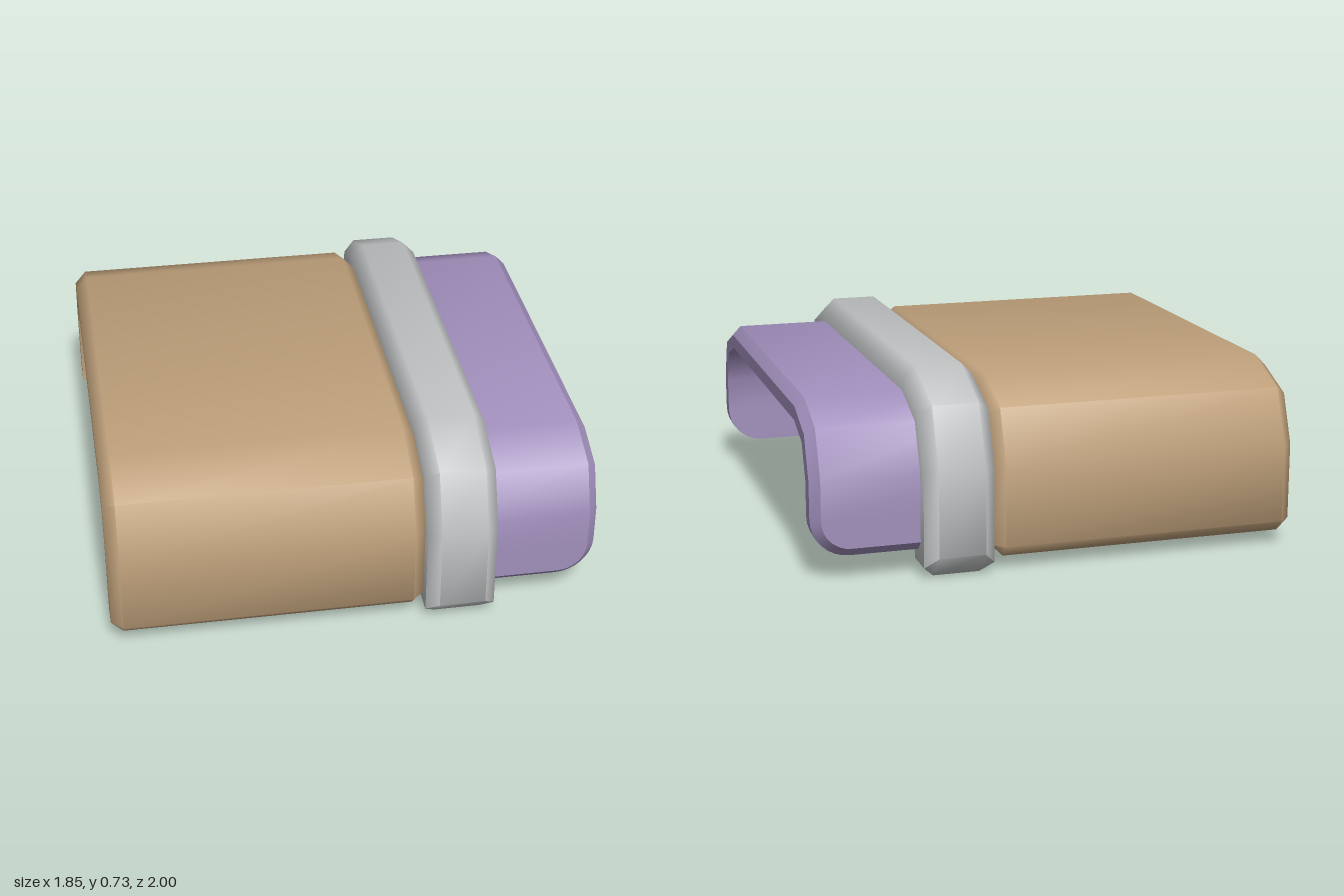
import * as THREE from 'three';
import { mergeGeometries, toCreasedNormals } from 'three/addons/utils/BufferGeometryUtils.js';

const tan = new THREE.MeshStandardMaterial({ name: 'tan', color: 0xc1a27c });
const purple = new THREE.MeshStandardMaterial({ name: 'purple', color: 0xa18fbc });
const grey = new THREE.MeshStandardMaterial({ name: 'light grey', color: 0xc2c4c5 });

// Inner bends of the arch as [z, y], from the leg to the flat top
const INNER = [[0.82, 0.37], [0.77, 0.5], [0.64, 0.55]];

// Arched shell with bevelled edges and rounded or chamfered leg corners.
// outer: outer bends, x0..x1: width, foot: leg bottom, r: corner radius,
// steps: corner segments, bevel: edge bevel, footBevel: bevel under the leg
function archShell({ outer, x0, x1, foot, r, steps, bevel, footBevel = bevel, gap = 0, sharpBevel = false }) {
  const cx = (x0 + x1) / 2, W = (x1 - x0) / 2;
  const zIn = 0.82 + gap, zOut = outer[0][0];
  const half = [];
  // Each section runs: inner back, rim back, face back, face front, rim front, inner front
  const section = (wRim, wFace, inn, rim, face) => half.push([
    [cx - wRim, inn], [cx - wRim, rim], [cx - wFace, face],
    [cx + wFace, face], [cx + wRim, rim], [cx + wRim, inn],
  ].map(([x, [z, y]]) => new THREE.Vector3(x, y, z)));

  // Leg corner
  for (let i = 0; i <= steps; i++) {
    const a = (i / steps) * Math.PI / 2, c = 1 - Math.cos(a), s = Math.sin(a);
    const y = foot + r * c;
    const b = THREE.MathUtils.lerp(footBevel, bevel, i / steps);
    section(W - r + r * s, W - r + (r - bevel) * s,
      [zIn, y], [zOut - b, y], [zOut, foot + footBevel + (r - bevel) * c]);
  }
  // Bends up to the flat top
  INNER.forEach(([z, y], i) => {
    const inn = [z + gap, y + gap], out = outer[i];
    const k = 1 - bevel / (zOut - zIn);
    const rim = inn.map((v, n) => v + (out[n] - v) * k);
    section(W, W - bevel, inn, rim, out);
  });
  const mirrored = half.map(sec => sec.map(p => new THREE.Vector3(p.x, p.y, -p.z))).reverse();
  const secs = [...half, ...mirrored], last = secs.length - 1;

  const strips = [];
  let pos = [];
  const tri = (a, b, c) => {
    const area = b.clone().sub(a).cross(c.clone().sub(a)).length();
    if (area > 1e-8) for (const p of [a, b, c]) pos.push(p.x, p.y, p.z);
  };
  const quad = (a, b, c, d) => { tri(a, b, c); tri(a, c, d); };
  const flush = () => {
    const g = new THREE.BufferGeometry();
    g.setAttribute('position', new THREE.Float32BufferAttribute(pos, 3));
    strips.push(g);
    pos = [];
  };
  // Strips along the arch
  for (let j = 0; j < 6; j++) {
    const n = (j + 1) % 6;
    for (let i = 0; i < last; i++) quad(secs[i][j], secs[i][n], secs[i + 1][n], secs[i + 1][j]);
    flush();
  }
  // Leg undersides
  const s = secs[0], e = secs[last];
  quad(s[0], s[5], s[4], s[1]);
  quad(e[5], e[0], e[1], e[4]);
  flush();
  quad(s[1], s[4], s[3], s[2]);
  quad(e[4], e[1], e[2], e[3]);
  flush();
  if (sharpBevel) return mergeGeometries(strips.map(g => toCreasedNormals(g, 1)));
  return toCreasedNormals(mergeGeometries(strips), 1);
}

export function createModel() {
  const group = new THREE.Group();
  group.name = 'archedSleeve';
  const add = (name, material, options) => {
    const mesh = new THREE.Mesh(archShell(options), material);
    mesh.name = name;
    group.add(mesh);
  };

  // Wide main cover
  add('mainCover', tan, {
    outer: [[0.955, 0.395], [0.875, 0.6], [0.67, 0.683]],
    x0: -0.925, x1: 0.26, foot: 0.05, r: 0.045, steps: 1, bevel: 0.045,
  });
  // Raised band around the joint
  add('raisedBand', grey, {
    outer: [[1.0, 0.405], [0.91, 0.635], [0.68, 0.73]],
    x0: 0.26, x1: 0.525, foot: 0, r: 0.045, steps: 1, bevel: 0.045, footBevel: 0.09, gap: 0.003,
  });
  // Inner end piece with rounded corners
  add('endPiece', purple, {
    outer: [[0.91, 0.39], [0.84, 0.565], [0.66, 0.638]],
    x0: 0.26, x1: 0.925, foot: 0.095, r: 0.145, steps: 8, bevel: 0.035, sharpBevel: true,
  });
  return group;
}
